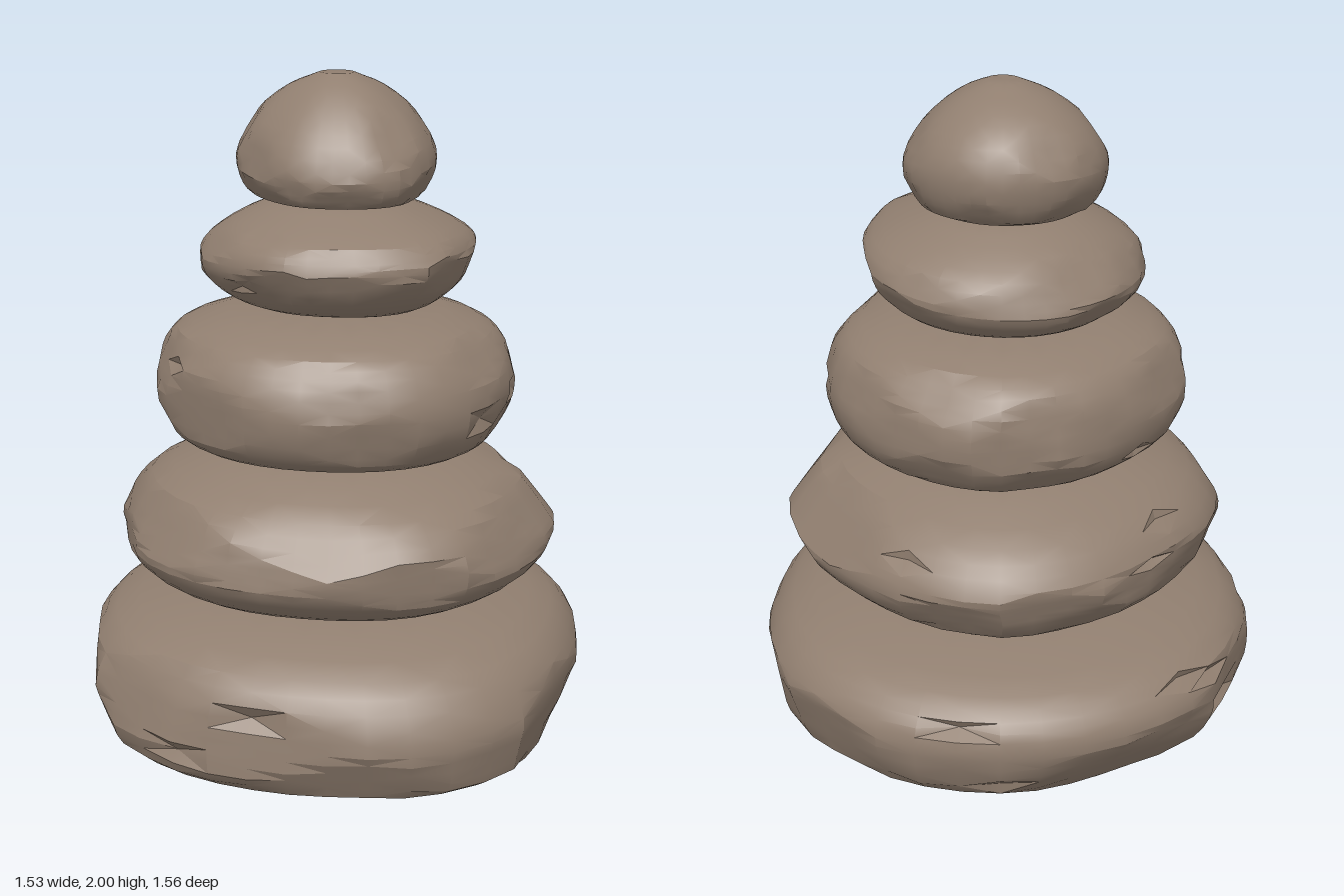
import * as THREE from 'three';
import { toCreasedNormals } from 'three/addons/utils/BufferGeometryUtils.js';

const SEGMENTS = 40, ROWS = 19;

// Each stone: a [radius, height] profile, outline factors for the eight
// directions from +x round through +z, and how far its rim tilts along x and z.
const STONES = [
  { name: 'baseStone', tilt: [.02, -.04],
    profile: [[.40, 0], [.59, .05], [.73, .13], [.765, .24], [.75, .33], [.67, .42], [.43, .49]],
    outline: [1, .95, 1.01, .94, 1, .97, 1, 1] },
  { name: 'secondStone', tilt: [0, 0],
    profile: [[.37, .50], [.50, .535], [.59, .60], [.625, .67], [.61, .74], [.53, .83], [.33, .915]],
    outline: [.97, 1.03, 1.04, .98, 1.02, 1.02, .98, 1.04] },
  { name: 'middleStone', tilt: [0, 0],
    profile: [[.33, .93], [.43, .95], [.49, 1], [.52, 1.11], [.50, 1.20], [.45, 1.27], [.31, 1.325]],
    outline: [.98, 1, 1.04, 1, 1.02, 1.02, .95, 1] },
  { name: 'fourthStone', tilt: [0, .025],
    profile: [[.22, 1.34], [.30, 1.36], [.37, 1.41], [.41, 1.47], [.395, 1.53], [.31, 1.59], [.19, 1.64]],
    outline: [.99, .99, 1.09, 1, .95, .97, .96, .97] },
  { name: 'topStone', tilt: [.02, -.03],
    profile: [[.15, 1.645], [.245, 1.66], [.28, 1.71], [.285, 1.79], [.235, 1.88], [.14, 1.96], [.05, 2]],
    outline: [.97, .98, 1.08, 1, .94, 1, 1.03, 1] },
];

function seeded(seed) {
  let s = seed * 7919;
  return () => (s = (s * 16807) % 2147483647) / 2147483647;
}

// Smoothly blends a ring of values; t runs 0..1 around the ring
function around(values, t) {
  const f = t * values.length, i = Math.floor(f), k = f - i;
  const w = k * k * (3 - 2 * k);
  return values[i] * (1 - w) + values[(i + 1) % values.length] * w;
}

function stoneGeometry({ profile, outline, tilt }, seed, chips) {
  const random = seeded(seed);
  const curve = new THREE.CatmullRomCurve3(
    profile.map(([r, y]) => new THREE.Vector3(r, y, 0)), false, 'centripetal');
  const points = [];

  // Rings of the rounded body, slightly oversized before its faces are worn flat
  for (let j = 0; j < ROWS; j++) {
    const v = j / (ROWS - 1), section = curve.getPoint(v), sway = Math.sin(Math.PI * v);
    for (let i = 0; i < SEGMENTS; i++) {
      const t = i / SEGMENTS, x = Math.cos(t * Math.PI * 2), z = Math.sin(t * Math.PI * 2);
      const r = section.x * around(outline, t) * 1.015;
      const y = section.y + sway * sway * (tilt[0] * x + tilt[1] * z);
      points.push(new THREE.Vector3(x * r, y, z * r));
    }
  }

  // Worn faces: press everything beyond a random plane back onto it
  for (let k = 0; k < 24; k++) {
    const a = (k * 0.382 + random() * 0.1) * Math.PI * 2, lift = (random() - 0.5) * 1.7;
    const n = new THREE.Vector3(Math.cos(a), lift, Math.sin(a)).normalize();
    const reach = Math.max(...points.map(p => p.dot(n)));
    const limit = reach - profile[3][0] * (0.015 + random() * 0.03);
    for (const p of points) {
      const over = p.dot(n) - limit;
      if (over > 0) p.addScaledVector(n, -over);
    }
  }

  // Small chips knocked out of the sides
  for (let k = 0; k < chips; k++) {
    const row = 5 + Math.floor(random() * (ROWS - 9)), col = Math.floor(random() * SEGMENTS);
    const p = points[row * SEGMENTS + col];
    p.x *= 0.955;
    p.z *= 0.955;
  }

  // Skin, then the bottom and top caps
  const index = [], last = (ROWS - 1) * SEGMENTS;
  for (let j = 0; j < ROWS - 1; j++) {
    for (let i = 0; i < SEGMENTS; i++) {
      const a = j * SEGMENTS + i, b = j * SEGMENTS + (i + 1) % SEGMENTS;
      const c = a + SEGMENTS, d = b + SEGMENTS;
      if ((i + j) % 2) index.push(a, c, b, b, c, d);
      else index.push(a, c, d, a, d, b);
    }
  }
  for (const start of [0, last]) {
    const centre = new THREE.Vector3();
    for (let i = 0; i < SEGMENTS; i++) centre.addScaledVector(points[start + i], 1 / SEGMENTS);
    const hub = points.push(centre) - 1;
    for (let i = 0; i < SEGMENTS; i++) {
      const p = start + i, q = start + (i + 1) % SEGMENTS;
      if (start === last) index.push(hub, q, p);
      else index.push(hub, p, q);
    }
  }
  const geometry = new THREE.BufferGeometry().setFromPoints(points);
  geometry.setIndex(index);
  return toCreasedNormals(geometry, 0.4);
}

export function createModel() {
  const stone = new THREE.MeshStandardMaterial({ color: 0x917f70 });
  stone.name = 'warm grey stone';
  const model = new THREE.Group();
  model.name = 'stackedStones';
  STONES.forEach((spec, i) => {
    // Lower stones are more battered
    const mesh = new THREE.Mesh(stoneGeometry(spec, 11 + i * 12, 8 - i * 2), stone);
    mesh.name = spec.name;
    model.add(mesh);
  });
  return model;
}
